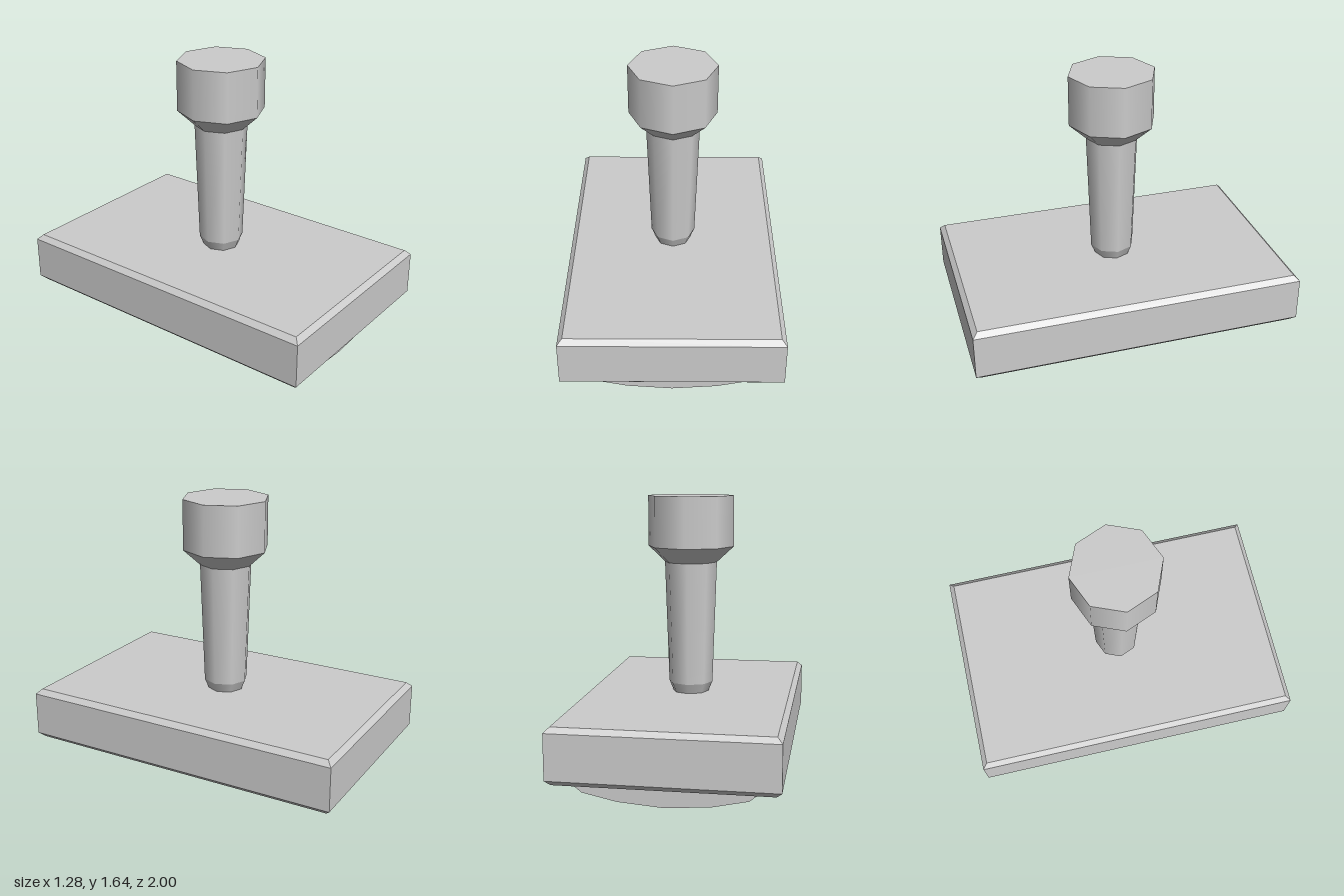
import * as THREE from 'three';
import { toCreasedNormals } from 'three/addons/utils/BufferGeometryUtils.js';

const material = new THREE.MeshStandardMaterial({ color: 0xcccccc });

function part(name, geometry, parent) {
  const mesh = new THREE.Mesh(geometry, material);
  mesh.name = name;
  parent.add(mesh);
  return mesh;
}

export function createModel() {
  const model = new THREE.Group();
  model.name = 'rockerStamp';

  // Block: rectangle extruded upwards, chamfered along top and bottom
  const bevel = 0.03, hx = 0.64 - bevel, hz = 1 - bevel;
  const outline = new THREE.Shape([
    new THREE.Vector2(-hx, -hz), new THREE.Vector2(hx, -hz),
    new THREE.Vector2(hx, hz), new THREE.Vector2(-hx, hz),
  ]);
  const block = new THREE.ExtrudeGeometry(outline, {
    depth: 0.265, bevelEnabled: true, bevelThickness: bevel, bevelSize: bevel, bevelSegments: 1,
  });
  block.rotateX(-Math.PI / 2);
  part('block', block, model).position.y = 0.12 + bevel;

  // Curved pad under the block, mirrored about x = 0
  const half = [[0.53, 0.12], [0.46, 0.063], [0.26, 0.02]];
  const profile = [
    ...half.map(([x, y]) => new THREE.Vector2(-x, y)),
    new THREE.Vector2(0, 0),
    ...half.reverse().map(([x, y]) => new THREE.Vector2(x, y)),
  ];
  const pad = new THREE.ExtrudeGeometry(new THREE.Shape(profile), { depth: 1.8, bevelEnabled: false });
  pad.translate(0, 0, -0.9);
  part('curvedPad', toCreasedNormals(pad, 0.5), model);

  // Eight-sided handle: smooth bands [radius, height] with sharp rings between them
  const handle = new THREE.Group();
  handle.name = 'handle';
  model.add(handle);
  const rings = [[0.108, 0.44], [0.135, 0.505], [0.16, 1.245], [0.262, 1.34], [0.262, 1.645]];
  const names = ['handleFoot', 'handleShaft', 'handleCollar', 'handleKnob'];
  names.forEach((name, i) => {
    const [r0, y0] = rings[i], [r1, y1] = rings[i + 1];
    part(name, new THREE.CylinderGeometry(r1, r0, y1 - y0, 8, 1, true), handle)
      .position.y = (y0 + y1) / 2;
  });
  const top = new THREE.CircleGeometry(0.262, 8);
  top.rotateX(-Math.PI / 2);
  part('knobTop', top, handle).position.y = 1.645;

  return model;
}
